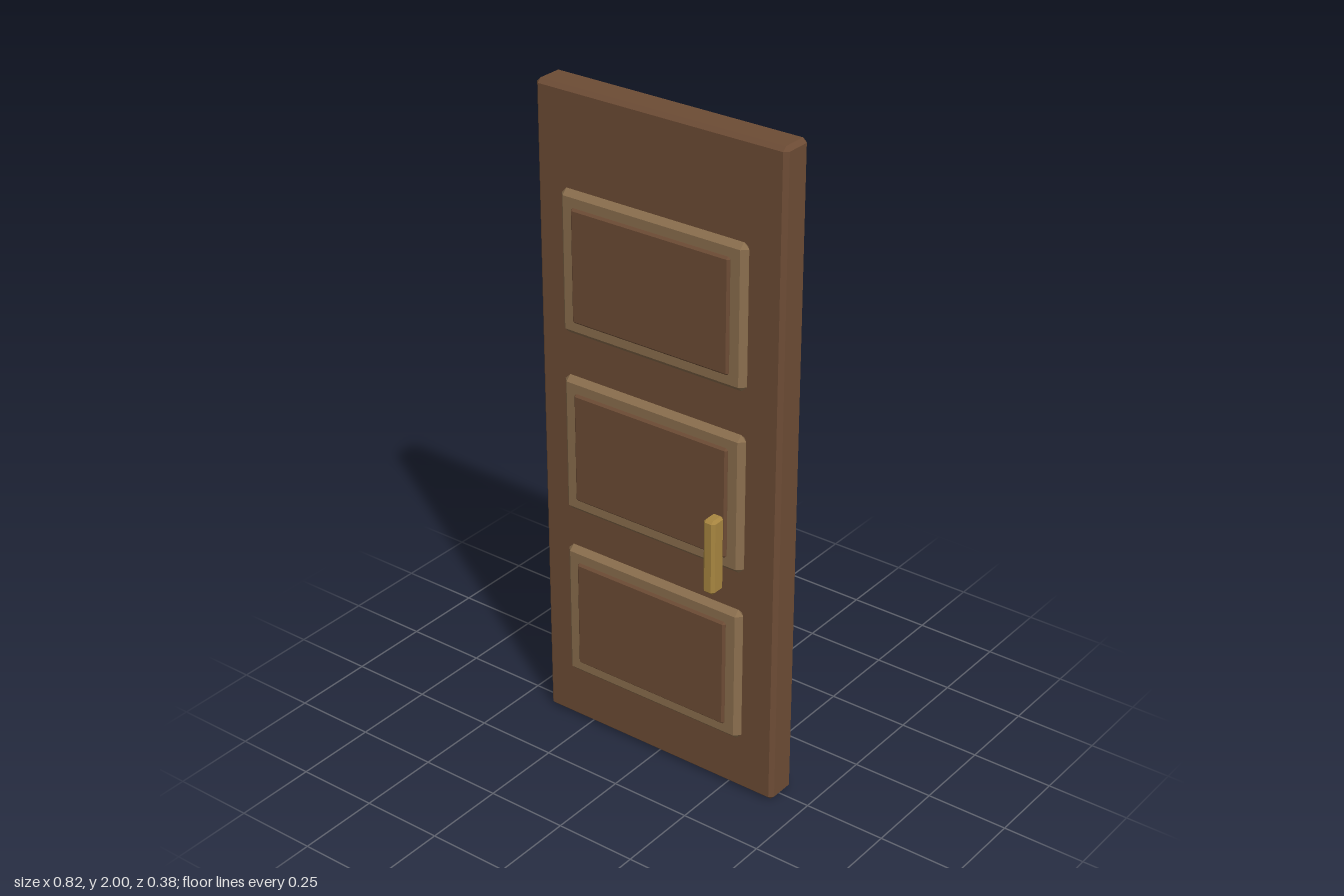
import * as THREE from 'three';
import { ConvexGeometry } from 'three/addons/geometries/ConvexGeometry.js';

const wood = new THREE.MeshStandardMaterial({ color: 0x6d4c35 });
const trim = new THREE.MeshStandardMaterial({ color: 0x8b6f4e });
const brass = new THREE.MeshStandardMaterial({ color: 0xa88640 });

// Box with every edge cut by a flat chamfer c
function chamferBox(w, h, d, c) {
  const points = [];
  for (const sx of [-1, 1]) for (const sy of [-1, 1]) for (const sz of [-1, 1]) {
    const x = w / 2, y = h / 2, z = d / 2;
    points.push(
      new THREE.Vector3(sx * x, sy * (y - c), sz * (z - c)),
      new THREE.Vector3(sx * (x - c), sy * y, sz * (z - c)),
      new THREE.Vector3(sx * (x - c), sy * (y - c), sz * z)
    );
  }
  return new ConvexGeometry(points);
}

export function createModel() {
  const door = new THREE.Group();
  door.name = 'door';

  function add(name, geometry, material, x, y, z) {
    const mesh = new THREE.Mesh(geometry, material);
    mesh.name = name;
    mesh.position.set(x, y, z);
    door.add(mesh);
  }

  // Door leaf
  add('doorLeaf', chamferBox(0.818, 2, 0.098, 0.012), wood, 0, 1, 0);

  const mouldingGeometry = chamferBox(0.618, 0.428, 0.034, 0.016);
  const panelGeometry = chamferBox(0.526, 0.34, 0.03, 0.006);
  const handleGeometry = chamferBox(0.038, 0.23, 0.05, 0.008);

  // Both faces carry three raised panels and a pull handle
  for (const side of [1, -1]) {
    const face = side > 0 ? 'front' : 'back';
    ['Lower', 'Middle', 'Upper'].forEach((level, i) => {
      const y = [0.397, 0.946, 1.506][i];
      add(`${face}${level}Moulding`, mouldingGeometry, trim, 0, y, side * 0.064);
      add(`${face}${level}Panel`, panelGeometry, wood, 0, y, side * 0.0745);
    });
    add(`${face}Handle`, handleGeometry, brass, 0.278, 0.833, side * 0.164);
  }

  return door;
}
